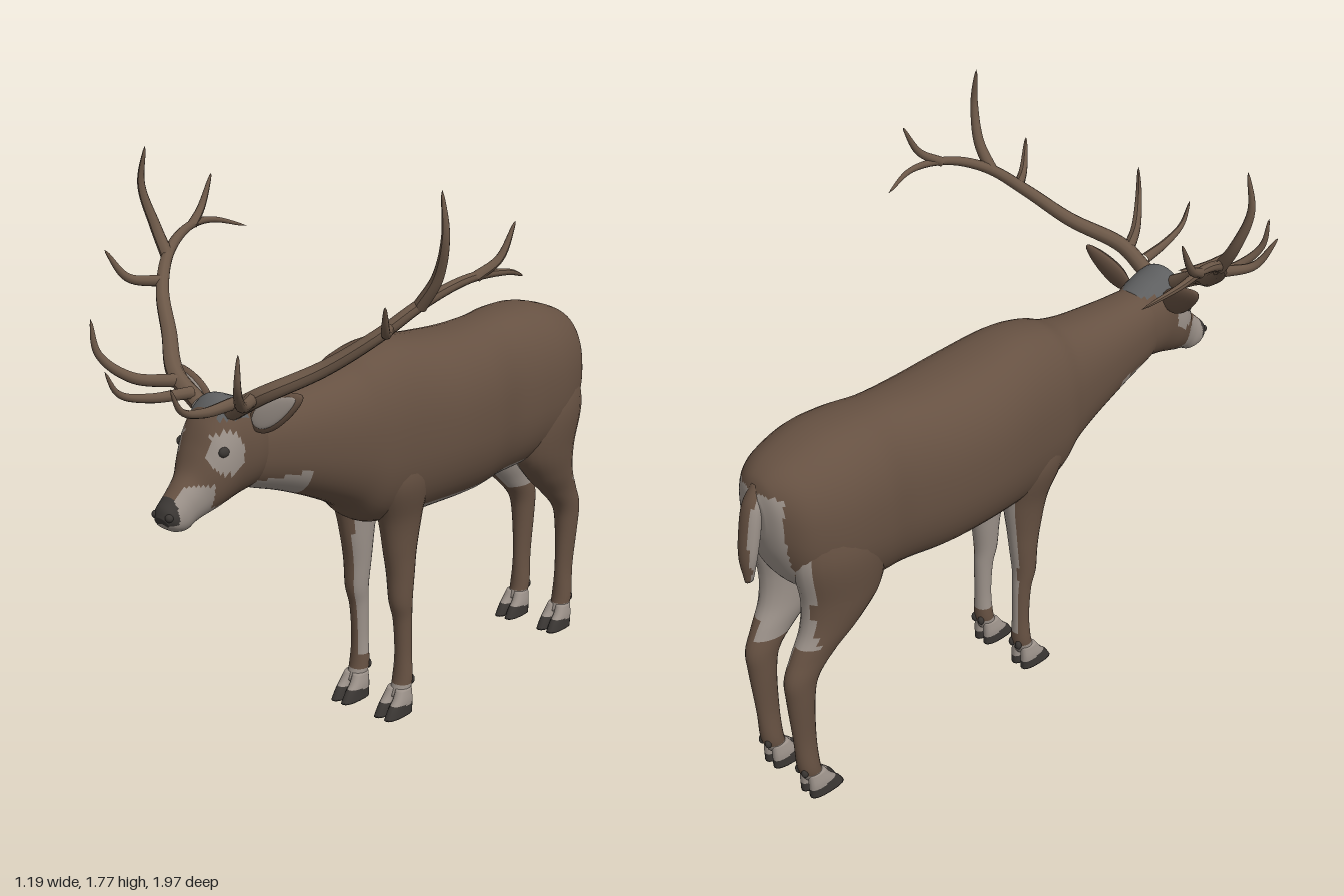
import * as THREE from 'three';

const mat = (name, color) => Object.assign(new THREE.MeshStandardMaterial({ color }), { name });
const coat = mat('brownCoat', 0x665142);
const pale = mat('paleFur', 0x9c928a);
const hoofDark = mat('darkHoof', 0x3b3734);
const crownGrey = mat('crownGrey', 0x5e5f60);
const antlerMat = mat('antler', 0x6b5747);
const MATS = [coat, pale, hoofDark, crownGrey];

// Loft through rings [zA, yA, zB, yB, halfWidth, centreX]; A and B are opposite
// edges of each ring. pick(x, y, z) chooses the material of each face.
function loft(name, rings, pick = () => 0, steps = 40, sides = 28, power = 1) {
  const a = new THREE.CatmullRomCurve3(rings.map(r => new THREE.Vector3(r[0], r[1], r[2])));
  const b = new THREE.CatmullRomCurve3(rings.map(r => new THREE.Vector3(r[3], r[4], r[5] || 0)));
  a.curveType = b.curveType = 'catmullrom';
  const pos = [];
  const pw = v => Math.sign(v) * Math.abs(v) ** power;
  for (let i = -1; i <= steps + 1; i++) {
    const t = Math.min(Math.max(i / steps, 0), 1);
    const size = i < 0 || i > steps ? 0 : 1; // collapsed rings close the ends
    const p = a.getPoint(t), q = b.getPoint(t);
    for (let j = 0; j < sides; j++) {
      const g = (j / sides) * Math.PI * 2, s = pw(Math.sin(g)) * size / 2;
      pos.push(q.z + pw(Math.cos(g)) * q.y * size,
        (p.y + q.x) / 2 + s * (p.y - q.x), (p.x + p.z) / 2 + s * (p.x - p.z));
    }
  }
  const buckets = MATS.map(() => []);
  for (let i = 0; i < steps + 2; i++) for (let j = 0; j < sides; j++) {
    const k = (j + 1) % sides;
    const q = [i * sides + j, i * sides + k, (i + 1) * sides + k, (i + 1) * sides + j];
    const c = [0, 1, 2].map(n => q.reduce((sum, v) => sum + pos[v * 3 + n], 0) / 4);
    buckets[pick(...c)].push(q[0], q[1], q[2], q[0], q[2], q[3]);
  }
  const geo = new THREE.BufferGeometry();
  geo.setAttribute('position', new THREE.Float32BufferAttribute(pos, 3));
  geo.setIndex(buckets.flat());
  let start = 0;
  buckets.forEach((f, m) => { if (f.length) geo.addGroup(start, f.length, m); start += f.length; });
  geo.computeVertexNormals();
  const mesh = new THREE.Mesh(geo, MATS);
  mesh.name = name;
  return mesh;
}

// Curved tube narrowing to a point
function tine(name, pts, r0, side, n = 24) {
  const curve = new THREE.CatmullRomCurve3(pts.map(([x, y, z]) => new THREE.Vector3(x * side, y, z)));
  const geo = new THREE.TubeGeometry(curve, n, r0, 10);
  const p = geo.attributes.position, v = new THREE.Vector3();
  for (let i = 0; i < p.count; i++) {
    const t = Math.floor(i / 11) / n, c = curve.getPointAt(t);
    v.fromBufferAttribute(p, i).sub(c).multiplyScalar((1 - t) ** 0.5).add(c);
    p.setXYZ(i, v.x, v.y, v.z);
  }
  geo.computeVertexNormals();
  const mesh = new THREE.Mesh(geo, antlerMat);
  mesh.name = name;
  return mesh;
}

function ball(name, material, r, x, y, z, sx = 1, sy = 1, sz = 1) {
  const mesh = new THREE.Mesh(new THREE.SphereGeometry(r, 16, 12), material);
  mesh.name = name;
  mesh.position.set(x, y, z);
  mesh.scale.set(sx, sy, sz);
  return mesh;
}

function antler(side) {
  const g = new THREE.Group();
  g.name = side > 0 ? 'leftAntler' : 'rightAntler';
  g.add(
    tine('mainBeam', [[.06, 1.15, .69], [.16, 1.21, .68], [.297, 1.29, .575], [.41, 1.38, .49],
      [.485, 1.465, .39], [.535, 1.515, .26], [.56, 1.515, .13], [.533, 1.48, .01]], .027, side, 48),
    tine('rearTine', [[.54, 1.515, .24], [.568, 1.56, .17], [.578, 1.655, .115]], .016, side),
    tine('tallTine', [[.48, 1.455, .40], [.535, 1.54, .395], [.572, 1.66, .41], [.555, 1.775, .405]], .02, side),
    tine('middleTine', [[.43, 1.40, .47], [.49, 1.415, .55], [.53, 1.5, .60]], .018, side),
    tine('upperBrowTine', [[.14, 1.20, .69], [.21, 1.22, .80], [.265, 1.29, .868], [.28, 1.39, .878]], .02, side),
    tine('lowerBrowTine', [[.08, 1.18, .70], [.105, 1.19, .84], [.12, 1.22, .93], [.125, 1.29, .97]], .018, side));
  return g;
}

function ear(side) {
  const g = new THREE.Group();
  g.name = side > 0 ? 'leftEar' : 'rightEar';
  const leaf = (name, m, w, h, d, z) => {
    const geo = new THREE.SphereGeometry(1, 20, 16), p = geo.attributes.position;
    for (let i = 0; i < p.count; i++) p.setX(i, p.getX(i) * (1 - 0.35 * p.getY(i)));
    geo.scale(w, h, d).translate(0, 0, z);
    geo.computeVertexNormals();
    const mesh = new THREE.Mesh(geo, m);
    mesh.name = name;
    g.add(mesh);
  };
  leaf('earBack', coat, .042, .1, .018, 0);
  leaf('earInside', pale, .032, .082, .008, .013);
  g.position.set(.16 * side, 1.155, .615);
  g.quaternion.setFromUnitVectors(new THREE.Vector3(0, 1, 0),
    new THREE.Vector3(.155 * side, .10, -.03).normalize());
  return g;
}

// Leg with cloven hoof; rings run downward, A is the front edge
function leg(name, side, rings, z0, palePick) {
  const g = new THREE.Group();
  g.name = name;
  g.add(loft('limb', rings.map(([y, zf, zb, w, cx]) => [zf, y, zb, y, w, cx * side]),
    (x, y, z) => palePick(x * side, y, z) ? 1 : 0, 56, 24));
  for (const t of [-1, 1]) {
    const x = .09 * side + t * .021;
    g.add(loft('toe', [[z0 + .03, .085, z0 - .03, .085, .018, x - t * .004], [z0 + .05, .055, z0 - .03, .05, .02, x],
      [z0 + .075, .03, z0 - .03, .022, .021, x], [z0 + .093, .002, z0 - .03, 0, .022, x]],
      (px, py, pz) => py < .034 + (pz - z0) * .12 ? 2 : 1, 16, 16, .8));
    g.add(ball('dewclaw', hoofDark, .011, .09 * side + t * .015, .1, z0 - .04, 1, 1.5, 1));
  }
  return g;
}

export function createModel() {
  const model = new THREE.Group();
  model.name = 'stag';
  const deer = new THREE.Group();
  deer.name = 'deer';
  deer.position.x = .03;
  deer.rotation.y = -.13;
  model.add(deer);

  // Trunk and neck
  deer.add(loft('body', [
    [-.95, 1.06, -.94, .92, .04], [-.925, 1.11, -.92, .84, .10], [-.86, 1.15, -.87, .74, .16],
    [-.74, 1.185, -.76, .67, .195], [-.62, 1.19, -.62, .65, .195], [-.5, 1.182, -.5, .64, .178],
    [-.35, 1.178, -.35, .63, .20], [-.18, 1.19, -.18, .635, .208], [0, 1.21, 0, .64, .188],
    [.12, 1.195, .12, .66, .172], [.2, 1.165, .2, .725, .15], [.3, 1.148, .3, .78, .132],
    [.46, 1.14, .46, .85, .112], [.6, 1.14, .6, .9, .09], [.66, 1.12, .66, .94, .05]],
  (x, y, z) => (z < -.06 && y < .69) || (z > .42 && y < .925)
    || (z < -.885 && Math.abs(x) < .1 && y < 1.07) || (z < -.8 && Math.abs(x) < .12 && y < .8) ? 1 : 0,
  110, 48, .87));
  deer.add(ball('sheath', pale, .035, 0, .655, -.56, .8, .7, 1.3));

  // Head
  deer.add(loft('head', [
    [.55, 1.14, .53, .91, .085], [.62, 1.17, .60, .90, .1], [.695, 1.19, .655, .89, .1],
    [.75, 1.13, .70, .88, .096], [.785, 1.06, .735, .87, .082], [.815, 1.0, .77, .86, .062],
    [.85, .965, .80, .85, .051], [.883, .935, .83, .836, .046], [.903, .915, .865, .84, .04],
    [.912, .89, .893, .855, .025]],
  (x, y, z) => {
    if (z > .875 && y > .868) return 2;
    if (y > 1.135 && z < .73) return 3;
    if (Math.hypot((y - 1.045) * .85, z - .73) < .05 && Math.abs(x) > .05) return 1;
    if (z > .77 && y < .965 && Math.abs(x) > .022) return 1;
    return y < .895 ? 1 : 0;
  }, 80, 40, .92));

  // Tail
  deer.add(loft('tail', [
    [-.90, 1.04, -.94, 1.09, .025], [-.925, 1.0, -.975, 1.03, .035], [-.94, .93, -.995, .94, .036],
    [-.955, .86, -1.003, .86, .03], [-.968, .79, -.995, .785, .012]],
  (x, y, z) => Math.abs(x) < .024 && z < -.96 + (y - .93) * .2 ? 0 : 1, 30, 20));

  for (const side of [1, -1]) {
    const label = side > 0 ? 'left' : 'right';
    deer.add(antler(side), ear(side));
    deer.add(ball('eye', hoofDark, .017, .082 * side, 1.052, .74, .7, .9, 1.1));
    deer.add(ball('nostril', hoofDark, .012, .026 * side, .893, .898));

    // Legs: [y, front z, back z, half width, centre x]
    deer.add(leg(label + 'FrontLeg', side, [
      [.95, .09, -.03, .05, .10], [.8, .135, -.09, .078, .10], [.66, .085, -.08, .057, .09],
      [.55, .06, -.062, .047, .087], [.47, .045, -.052, .042, .088], [.38, .038, -.043, .036, .09],
      [.31, .02, -.045, .029, .09], [.2, .012, -.045, .027, .09], [.11, .018, -.045, .033, .09],
      [.06, .035, -.03, .03, .09]], 0,
    (x, y, z) => y < .1 || (y > .14 && y < .68 && x < .088 - (z + .01) * .5)));
    deer.add(leg(label + 'RearLeg', side, [
      [1.0, -.68, -.86, .06, .105], [.85, -.60, -.895, .093, .105], [.7, -.60, -.875, .083, .10],
      [.6, -.675, -.885, .066, .097], [.52, -.765, -.925, .048, .094], [.45, -.835, -.953, .041, .093],
      [.37, -.858, -.95, .036, .092], [.22, -.862, -.938, .027, .09], [.11, -.858, -.93, .033, .09],
      [.06, -.845, -.91, .03, .09]], -.88,
    (x, y, z) => y < .085 || (y > .5 && x < .085) || (y > .55 && z < -.865)));
  }
  return model;
}
